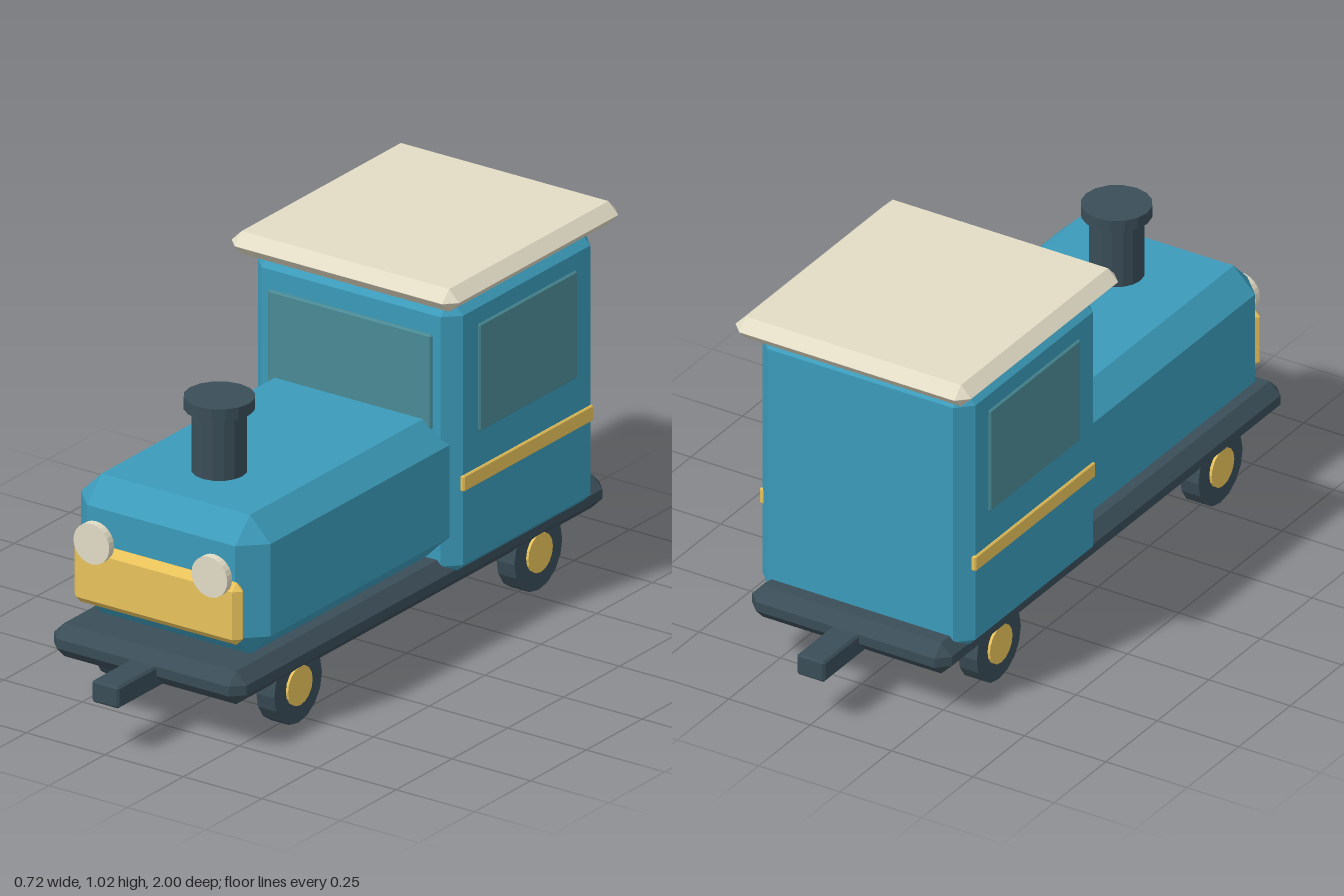
import * as THREE from 'three';
import { ConvexGeometry } from 'three/addons/geometries/ConvexGeometry.js';

const paint = (color) => new THREE.MeshStandardMaterial({ color, flatShading: true });

export function createModel() {
  const model = new THREE.Group();
  model.name = 'locomotive';
  const blue = paint(0x3b9ab9), dark = paint(0x3a4d57), yellow = paint(0xe8c25a);
  const cream = paint(0xe2dcc6), glass = paint(0x4a8a94);

  const add = (name, geometry, material) => {
    const mesh = new THREE.Mesh(geometry, material);
    mesh.name = name;
    model.add(mesh);
    return mesh;
  };

  // Box between two corners with every edge chamfered by b
  const block = (name, material, [x0, y0, z0], [x1, y1, z1], b) => {
    const half = new THREE.Vector3(x1 - x0, y1 - y0, z1 - z0).multiplyScalar(0.5);
    const points = [];
    for (const sx of [-1, 1]) for (const sy of [-1, 1]) for (const sz of [-1, 1])
      for (const axis of [0, 1, 2]) {
        const inset = [b, b, b];
        inset[axis] = 0;
        points.push(new THREE.Vector3(
          sx * (half.x - inset[0]), sy * (half.y - inset[1]), sz * (half.z - inset[2])));
      }
    const mesh = add(name, new ConvexGeometry(points), material);
    mesh.position.set((x0 + x1) / 2, (y0 + y1) / 2, (z0 + z1) / 2);
    return mesh;
  };

  // Cylinder along a chosen axis, centred at a point
  const drum = (name, material, radius, length, sides, axis, position) => {
    const geometry = new THREE.CylinderGeometry(radius, radius, length, sides);
    if (axis === 'x') geometry.rotateZ(Math.PI / 2);
    if (axis === 'z') geometry.rotateX(Math.PI / 2);
    add(name, geometry, material).position.set(...position);
  };

  // Main bodies
  block('chassis', dark, [-0.307, 0.14, -0.83], [0.307, 0.233, 0.83], 0.033);
  block('hood', blue, [-0.302, 0.232, -0.25], [0.302, 0.625, 0.748], 0.066);
  block('cab', blue, [-0.327, 0.175, -0.757], [0.327, 0.963, -0.103], 0.042);
  block('roof', cream, [-0.362, 0.957, -0.822], [0.362, 1.021, -0.046], 0.0315);

  // Cab front window
  block('frontWindow', glass, [-0.26, 0.57, -0.12], [0.26, 0.866, -0.093], 0.004);

  // Nose panel and chimney
  block('nosePanel', yellow, [-0.268, 0.288, 0.737], [0.268, 0.463, 0.78], 0.02);
  drum('chimney', dark, 0.073, 0.22, 16, 'y', [0, 0.71, 0.487]);
  drum('chimneyCap', dark, 0.094, 0.033, 16, 'y', [0, 0.819, 0.487]);

  for (const s of [-1, 1]) {
    const side = s > 0 ? 'left' : 'right';
    const x = (a, b) => [Math.min(s * a, s * b), Math.max(s * a, s * b)];

    // Side window and trim stripe
    const [w0, w1] = x(0.31, 0.333);
    block(side + 'Window', glass, [w0, 0.571, -0.65], [w1, 0.874, -0.212], 0.004);
    block(side + 'Stripe', yellow, [w0, 0.425, -0.722], [w1, 0.471, -0.14], 0.004);

    drum(side + 'Headlight', cream, 0.057, 0.022, 24, 'z', [s * 0.188, 0.477, 0.785]);

    // Wheels with hubs
    for (const [end, z] of [['Front', 0.538], ['Back', -0.538]]) {
      drum(side + end + 'Wheel', dark, 0.107, 0.057, 16, 'x', [s * 0.2585, 0.107, z]);
      drum(side + end + 'Hub', yellow, 0.055, 0.065, 16, 'x', [s * 0.262, 0.107, z]);
    }

    // Coupler bar at each end
    const [c0, c1] = x(0.75, 1);
    block(s > 0 ? 'frontCoupler' : 'backCoupler', dark,
      [-0.043, 0.138, c0], [0.043, 0.2, c1], 0.006);
  }
  return model;
}
